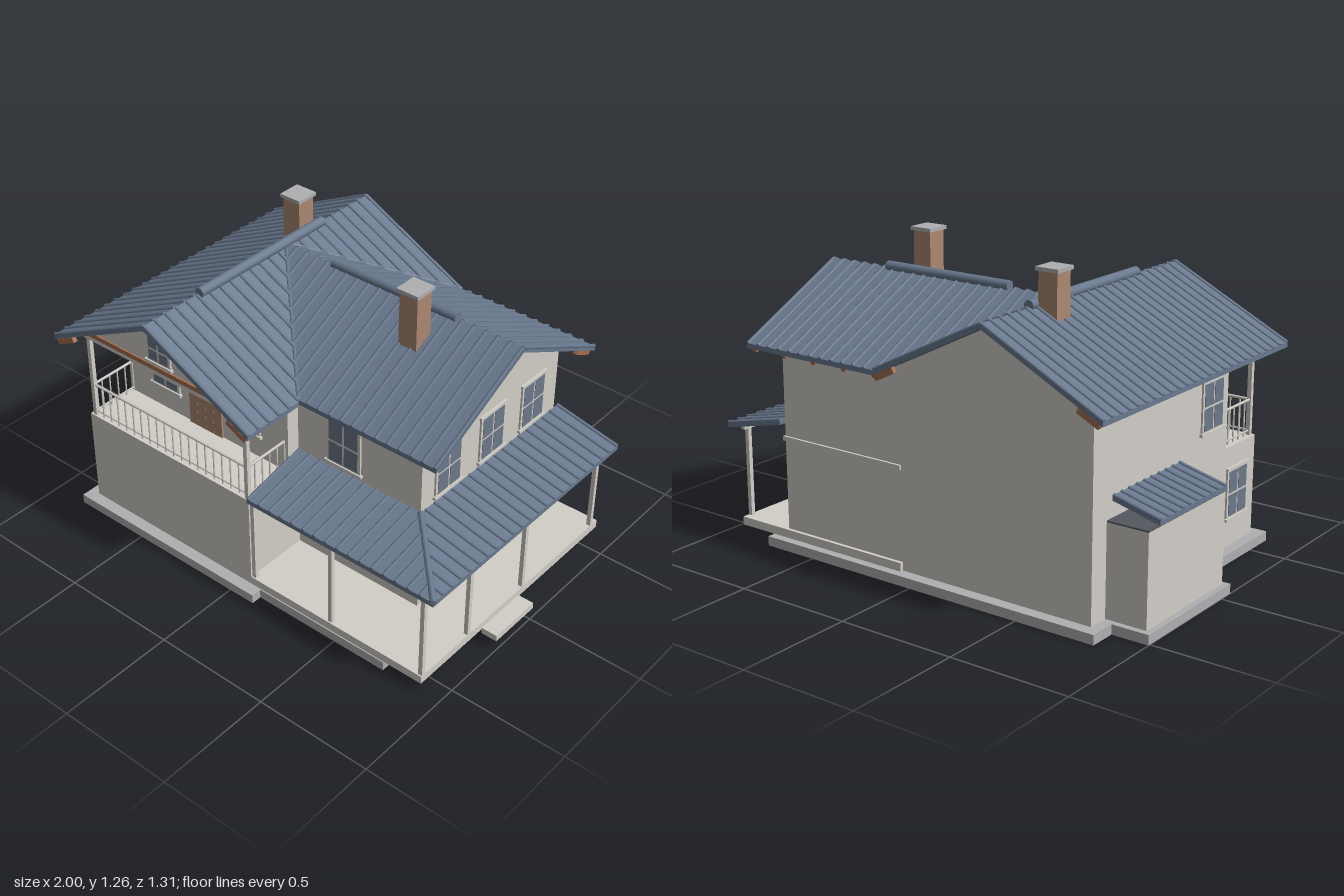
import * as THREE from 'three';

const mat = (name, color) => {
  const m = new THREE.MeshStandardMaterial({ color });
  m.name = name;
  return m;
};

export function createModel() {
  const wall = mat('plaster', 0xd2cfc8);
  const slate = mat('roof slate', 0x6a798f);
  const stone = mat('stone', 0xb0b0b2);
  const brick = mat('brick brown', 0xad8872);
  const timber = mat('timber', 0xa56f52);
  const glass = mat('glass', 0x6d7889);
  const dark = mat('dark sheet', 0x55585e);

  const model = new THREE.Group();
  model.name = 'house';

  const add = (name, geo, material, parent = model) => {
    const m = new THREE.Mesh(geo, material);
    m.name = name;
    parent.add(m);
    return m;
  };
  // Box given by its limits on each axis
  const box = (name, material, x0, x1, y0, y1, z0, z1, parent = model) => {
    const m = add(name, new THREE.BoxGeometry(x1 - x0, y1 - y0, z1 - z0), material, parent);
    m.position.set((x0 + x1) / 2, (y0 + y1) / 2, (z0 + z1) / 2);
    return m;
  };
  // Round bar between two points
  const bar = (name, material, a, b, r, sides = 8, parent = model) => {
    const d = b.clone().sub(a);
    const m = add(name, new THREE.CylinderGeometry(r, r, d.length(), sides), material, parent);
    m.position.copy(a).add(b).multiplyScalar(0.5);
    m.quaternion.setFromUnitVectors(new THREE.Vector3(0, 1, 0), d.normalize());
    return m;
  };
  const V = (x, y, z) => new THREE.Vector3(x, y, z);

  // Foundation slabs, porch deck and step
  box('mainFoundation', stone, -0.845, 0.12, 0, 0.04, -0.625, 0.63);
  box('sideFoundation', stone, 0.12, 0.74, 0, 0.04, -0.625, 0.585);
  box('shedFoundation', stone, -1, -0.845, 0, 0.04, -0.51, 0.065);
  box('porchDeck', wall, 0.07, 0.915, 0.04, 0.075, -0.59, 0.58);
  box('porchStep', wall, 0.93, 1, 0.046, 0.073, -0.015, 0.225);

  // House wall with a pointed top, extruded along z
  const gableWall = (name, c, half, y0, depth) => {
    const s = new THREE.Shape([[c - half, y0], [c + half, y0], [c + half, 0.86], [c, 1.078], [c - half, 0.86]]
      .map(p => new THREE.Vector2(...p)));
    return add(name, new THREE.ExtrudeGeometry(s, { depth, bevelEnabled: false }), wall);
  };
  box('lowerFrontWalls', wall, -0.8, 0.07, 0.04, 0.46, -0.575, 0.58);
  gableWall('upperFrontWalls', -0.365, 0.435, 0.46, 0.925).position.z = -0.575;
  gableWall('balconyGable', -0.365, 0.435, 0.835, 0.23).position.z = 0.35;
  const wing = gableWall('wingWalls', 0.1425, 0.4325, 0.04, 0.6);
  wing.rotation.y = Math.PI / 2;
  wing.position.x = 0.07;
  box('gableBeam', timber, -0.8, 0.07, 0.86, 0.88, 0.58, 0.588);
  box('rearBand', wall, 0.07, 0.675, 0.45, 0.468, -0.585, -0.575);

  // Ribbed roof panel: plan outline [x, z], height rule, ribs running along one axis
  const roofPanel = (name, outline, height, axis, gap = 0.055) => {
    const g = new THREE.Group();
    g.name = name;
    model.add(g);
    const shape = new THREE.Shape(outline.map(p => new THREE.Vector2(...p)));
    const geo = new THREE.ExtrudeGeometry(shape, { depth: 0.02, bevelEnabled: false });
    geo.rotateX(Math.PI / 2);
    const p = geo.attributes.position;
    for (let i = 0; i < p.count; i++) p.setY(i, p.getY(i) + height(p.getX(i), p.getZ(i)));
    geo.computeVertexNormals();
    add('roofSheet', geo, slate, g);
    const k = axis === 'x' ? 1 : 0;
    const lo = Math.min(...outline.map(q => q[k])), hi = Math.max(...outline.map(q => q[k]));
    const n = Math.round((hi - lo) / gap);
    for (let i = 0; i <= n; i++) {
      const t = lo + 0.006 + (hi - lo - 0.012) * i / n;
      const hits = [];
      outline.forEach((a, j) => {
        const b = outline[(j + 1) % outline.length];
        if ((a[k] - t) * (b[k] - t) < 0) {
          const f = (t - a[k]) / (b[k] - a[k]);
          hits.push(a[1 - k] + f * (b[1 - k] - a[1 - k]));
        }
      });
      if (hits.length < 2 || Math.abs(hits[0] - hits[1]) < 0.015) continue;
      const [a, b] = hits.map(h => (k ? V(h, height(h, t), t) : V(t, height(t, h), h)));
      bar('roofRib', slate, a, b, 0.008, 6, g);
    }
  };

  // Main roofs: two crossing gables meeting in valleys
  const RX = -0.37, RZ = -0.145;
  const mainY = x => 1.1 - 0.5 * Math.abs(x - RX);
  const wingY = (x, z) => 1.1 - 0.5 * Math.abs(z - RZ);
  roofPanel('mainRoofRight', [[-0.89, -0.655], [RX, -0.655], [RX, 0.65], [-0.89, 0.65]], mainY, 'x');
  roofPanel('mainRoofFrontLeft', [[RX, 0.65], [0.145, 0.65], [0.145, 0.37], [RX, RZ]], mainY, 'x');
  roofPanel('mainRoofBackLeft', [[RX, RZ], [0.14, -0.655], [RX, -0.655]], mainY, 'x');
  for (const s of [1, -1]) {
    roofPanel('wingRoof', [[RX, RZ], [0.785, RZ], [0.785, RZ + s * 0.508], [RX + 0.508, RZ + s * 0.508]], wingY, 'z');
    bar('valley', slate, V(RX, 1.1, RZ), V(RX + 0.508, 0.846, RZ + s * 0.508), 0.008, 6);
  }
  bar('mainRidgeCap', slate, V(RX + 0.005, 1.107, -0.36), V(RX + 0.005, 1.107, 0.355), 0.021, 12);
  bar('wingRidgeCap', slate, V(-0.12, 1.107, RZ), V(0.485, 1.107, RZ), 0.021, 12);

  // Rafter tails below the eaves
  for (let i = 0; i < 5; i++) {
    const x = 0.14 + i * 0.155;
    for (const s of [1, -1]) {
      const r = box('wingRafter', timber, -0.01, 0.01, -0.012, 0.012, -0.05, 0.05);
      r.position.set(x, 0.842, RZ + s * 0.45);
      r.rotation.x = s * Math.atan(0.5);
    }
  }
  for (let i = 0; i < 9; i++) {
    const z = -0.64 + i * 0.16;
    for (const s of [1, -1]) {
      if (s > 0 && z < 0.37 && z > -0.6) continue;
      const r = box('mainRafter', timber, -0.05, 0.05, -0.012, 0.012, -0.01, 0.01);
      r.position.set(RX + s * 0.455, 0.838, z);
      r.rotation.z = -s * Math.atan(0.5);
    }
  }

  // Porch roof wrapping the corner, and its hip
  roofPanel('porchRoofSide', [[0.67, 0.29], [0.67, -0.605], [0.962, -0.605], [0.962, 0.59]],
    x => 0.54 - 0.065 * (x - 0.67) / 0.292, 'x');
  roofPanel('porchRoofFront', [[0.07, 0.29], [0.67, 0.29], [0.962, 0.59], [0.07, 0.59]],
    (x, z) => 0.54 - 0.065 * (z - 0.29) / 0.3, 'z');
  bar('porchHip', slate, V(0.67, 0.542, 0.29), V(0.962, 0.477, 0.59), 0.012, 8);

  // Porch posts and beams
  const post = (x, z, y0, y1) => box('post', wall, x - 0.009, x + 0.009, y0, y1, z - 0.009, z + 0.009);
  for (const z of [0.565, 0.285, -0.068, -0.55]) post(0.905, z, 0.075, 0.47);
  for (const x of [0.08, 0.47]) post(x, 0.565, 0.075, 0.47);
  box('porchBeamSide', wall, 0.896, 0.914, 0.45, 0.468, -0.58, 0.574);
  box('porchBeamFront', wall, 0.07, 0.914, 0.45, 0.468, 0.556, 0.574);

  // Shed on the right-hand side of the house
  box('shedWalls', wall, -0.975, -0.8, 0.04, 0.41, -0.485, 0.045);
  box('shedTop', dark, -0.975, -0.8, 0.41, 0.416, -0.485, 0.045);
  roofPanel('shedRoof', [[-1, -0.45], [-0.8, -0.45], [-0.8, 0.005], [-1, 0.005]], x => 0.45 + (x + 1) * 0.25, 'x', 0.05);

  // Balcony posts and railings
  for (const x of [-0.78, 0.055]) post(x, 0.565, 0.46, 0.84);
  const railing = (a, b) => {
    const g = new THREE.Group();
    g.name = 'railing';
    model.add(g);
    bar('topRail', wall, a.clone().setY(0.606), b.clone().setY(0.606), 0.006, 6, g);
    bar('bottomRail', wall, a.clone().setY(0.478), b.clone().setY(0.478), 0.004, 6, g);
    const n = Math.round(a.distanceTo(b) / 0.045);
    for (let i = 0; i <= n; i++) {
      const q = a.clone().lerp(b, i / n);
      bar('baluster', wall, q.clone().setY(0.46), q.clone().setY(0.606), 0.0035, 6, g);
    }
  };
  railing(V(-0.78, 0, 0.565), V(0.055, 0, 0.565));
  for (const x of [-0.78, 0.055]) railing(V(x, 0, 0.355), V(x, 0, 0.565));

  // Windows: framed plate with separate panes
  const frontWindow = (x, y, z, w, h, cols = 2, turn = 0) => {
    const g = new THREE.Group();
    g.name = 'window';
    model.add(g);
    box('frame', wall, -w / 2, w / 2, -h / 2, h / 2, 0, 0.008, g);
    box('sill', wall, -w / 2 - 0.008, w / 2 + 0.008, -h / 2 - 0.006, -h / 2 + 0.006, 0, 0.014, g);
    box('lintel', wall, -w / 2 - 0.004, w / 2 + 0.004, h / 2 - 0.006, h / 2 + 0.004, 0, 0.011, g);
    const m = 0.012, bw = 0.009;
    const pw = (w - 2 * m - (cols - 1) * bw) / cols, ph = (h - 2 * m - bw) / 2;
    for (let c = 0; c < cols; c++) for (let r = 0; r < 2; r++) {
      const px = -w / 2 + m + c * (pw + bw), py = -h / 2 + m + r * (ph + bw);
      box('pane', glass, px, px + pw, py, py + ph, 0.004, 0.0095, g);
    }
    g.position.set(x, y, z);
    g.rotation.y = turn;
  };
  for (const x of [-0.583, -0.148]) frontWindow(x, 0.667, 0.35, 0.155, 0.21);
  frontWindow(-0.366, 0.957, 0.58, 0.125, 0.122);
  frontWindow(0.302, 0.672, 0.29, 0.165, 0.21);
  frontWindow(0.302, 0.265, 0.29, 0.22, 0.21, 3);
  for (const z of [0.133, -0.14, -0.407]) frontWindow(0.67, 0.67, z, 0.158, 0.21, 2, Math.PI / 2);
  for (const z of [-0.12, -0.407]) frontWindow(0.67, 0.262, z, 0.158, 0.21, 2, Math.PI / 2);
  frontWindow(0.67, 0.957, -0.141, 0.125, 0.122, 2, Math.PI / 2);
  frontWindow(-0.8, 0.67, 0.23, 0.16, 0.21, 2, -Math.PI / 2);
  frontWindow(-0.8, 0.265, 0.44, 0.16, 0.21, 2, -Math.PI / 2);

  // Doors
  for (let i = 0; i < 4; i++) {
    const x = -0.451 + i * 0.044;
    box('balconyDoorPlank', brick, x, x + 0.0432, 0.46, 0.795, 0.35, 0.358);
  }
  box('porchDoor', wall, 0.67, 0.679, 0.075, 0.42, 0.01, 0.205);

  // Chimneys
  const chimney = (x, z, y0, y1) => {
    box('chimneyStack', brick, x - 0.042, x + 0.042, y0, y1 - 0.015, z - 0.042, z + 0.042);
    box('chimneyCap', stone, x - 0.05, x + 0.05, y1 - 0.015, y1, z - 0.051, z + 0.051);
  };
  chimney(-0.423, -0.282, 0.98, 1.248);
  chimney(0.383, -0.015, 0.98, 1.26);

  return model;
}
